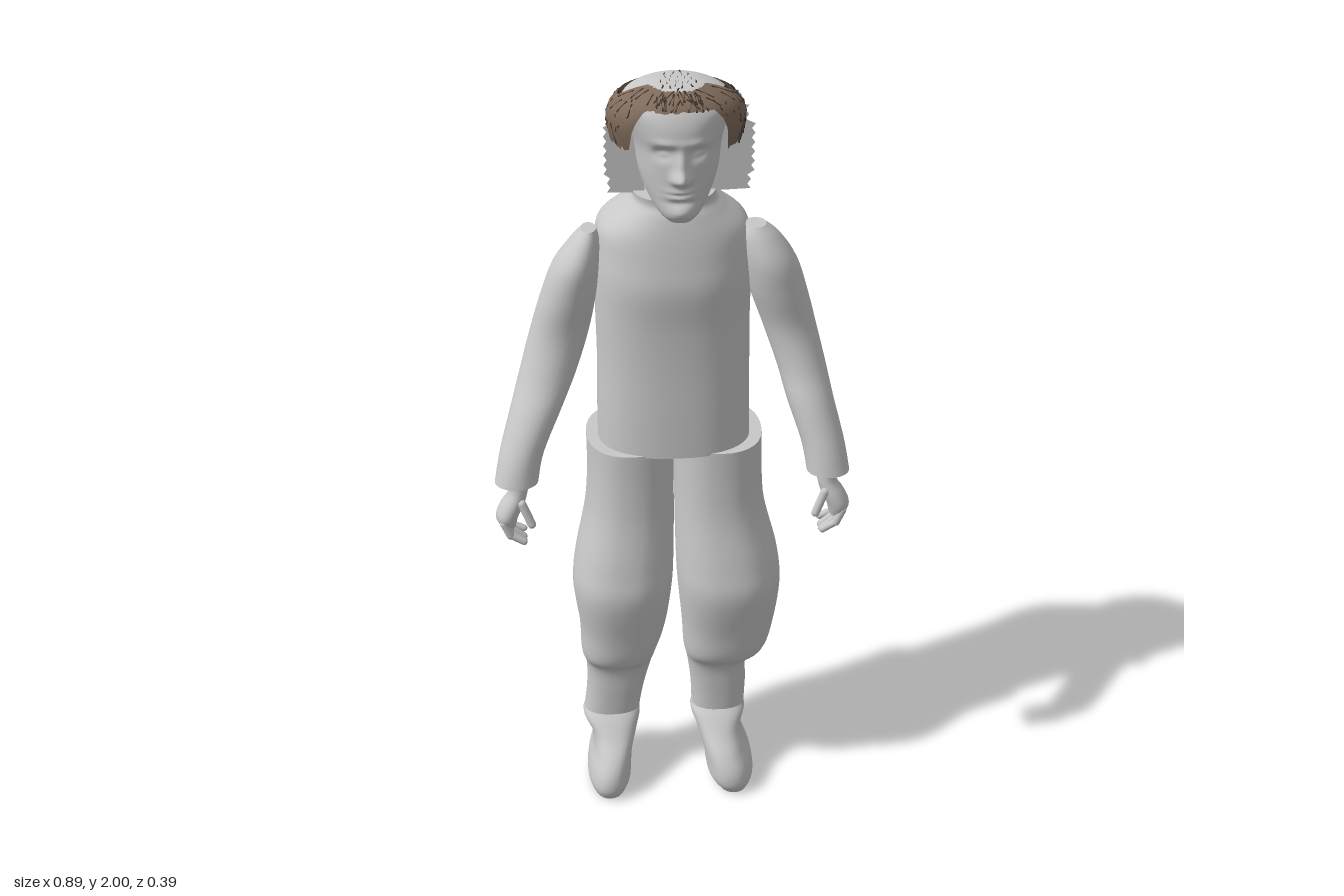
import * as THREE from 'three';

const grey = new THREE.MeshStandardMaterial({ color: 0xc8c8c8 });
grey.name = 'plainGrey';
const greySheet = new THREE.MeshStandardMaterial({ color: 0xc8c8c8, side: THREE.DoubleSide });
greySheet.name = 'plainGreySheet';
const brown = new THREE.MeshStandardMaterial({ color: 0x7f6b5b, side: THREE.DoubleSide });
brown.name = 'hairBrown';
const dark = new THREE.MeshStandardMaterial({ color: 0x40362f });
dark.name = 'strandBrown';

let seed = 7;
const rand = () => (seed = (seed * 16807) % 2147483647) / 2147483647;

// Smooth lookup in a table of slices, t from 0 to 1
function sliceAt(rings, t) {
  const f = t * (rings.length - 1), i = Math.min(Math.floor(f), rings.length - 2), u = f - i;
  const r = k => rings[Math.max(0, Math.min(rings.length - 1, k))];
  return rings[i].map((_, c) => {
    const p0 = r(i - 1)[c], p1 = r(i)[c], p2 = r(i + 1)[c], p3 = r(i + 2)[c];
    return p1 + 0.5 * u * (p2 - p0 + u * (2 * p0 - 5 * p1 + 4 * p2 - p3 + u * (3 * (p1 - p2) + p3 - p0)));
  });
}

// Point on a slice [y, xMin, xMax, zFront, zBack] at angle a; power > 2 squares it off
function slicePoint([y, x0, x1, zf, zb], a, power = 2) {
  const round = v => Math.sign(v) * Math.pow(Math.abs(v), 2 / power);
  return [
    (x0 + x1) / 2 + round(Math.cos(a)) * (x1 - x0) / 2, y,
    (zf + zb) / 2 + round(Math.sin(a)) * (zf - zb) / 2];
}

// Closed body through horizontal slices listed from the bottom up
function loft(name, rings, { n = 32, rows = 32, power = 2, shape = p => p } = {}) {
  const pos = [], idx = [];
  for (let j = 0; j <= rows; j++) {
    const s = sliceAt(rings, j / rows);
    for (let i = 0; i < n; i++) pos.push(...shape(slicePoint(s, i / n * Math.PI * 2, power)));
  }
  for (let j = 0; j < rows; j++) for (let i = 0; i < n; i++) {
    const a = j * n + i, b = j * n + (i + 1) % n;
    idx.push(a, a + n, b, b, a + n, b + n);
  }
  for (const [row, ring, top] of [[0, rings[0], false], [rows, rings[rings.length - 1], true]]) {
    const base = pos.length / 3;
    pos.push(...pos.slice(row * n * 3, (row + 1) * n * 3));
    pos.push((ring[1] + ring[2]) / 2, ring[0], (ring[3] + ring[4]) / 2);
    for (let i = 0; i < n; i++) {
      const a = base + i, b = base + (i + 1) % n;
      idx.push(...(top ? [a, base + n, b] : [a, b, base + n]));
    }
  }
  const g = new THREE.BufferGeometry();
  g.setAttribute('position', new THREE.Float32BufferAttribute(pos, 3));
  g.setIndex(idx);
  g.computeVertexNormals();
  const m = new THREE.Mesh(g, grey);
  m.name = name;
  return m;
}

// Rounded rod or thin strand between two points
function rod(name, a, b, r, material, fine = true) {
  const A = new THREE.Vector3(...a), B = new THREE.Vector3(...b), d = B.clone().sub(A);
  const g = fine ? new THREE.CapsuleGeometry(r, d.length(), 5, 10) : new THREE.CylinderGeometry(r, r, d.length(), 4);
  const m = new THREE.Mesh(g, material);
  m.position.copy(A).add(B).multiplyScalar(0.5);
  m.quaternion.setFromUnitVectors(new THREE.Vector3(0, 1, 0), d.normalize());
  m.name = name;
  return m;
}

// Facial relief: nose, eye sockets, brows, lips and chin
function face([x, y, z]) {
  if (z < 0.04) return [x, y, z];
  const dx = x - 0.017;
  const bump = (cx, cy, sx, sy) => Math.exp(-(((dx - cx) / sx) ** 2) - ((y - cy) / sy) ** 2);
  let d = 0.034 * bump(0, 1.808, 0.019, 0.018) + 0.018 * bump(0, 1.84, 0.012, 0.03);
  for (const s of [-1, 1]) {
    d += -0.016 * bump(s * 0.04, 1.862, 0.022, 0.015) + 0.007 * bump(s * 0.04, 1.86, 0.013, 0.007);
    d += 0.006 * bump(s * 0.035, 1.888, 0.03, 0.01) + 0.007 * bump(s * 0.017, 1.802, 0.009, 0.009);
  }
  d += 0.012 * bump(0, 1.766, 0.03, 0.015) - 0.009 * bump(0, 1.766, 0.03, 0.004);
  d += 0.009 * bump(0, 1.722, 0.028, 0.016) - 0.005 * bump(0, 1.745, 0.03, 0.007);
  return [x, y, z + d];
}

const hairRings = [
  [1.74, -0.07, 0.1, 0.06, -0.09], [1.80, -0.115, 0.145, 0.11, -0.12], [1.86, -0.14, 0.17, 0.14, -0.132],
  [1.92, -0.147, 0.177, 0.158, -0.13], [1.96, -0.125, 0.157, 0.155, -0.112], [1.985, -0.085, 0.115, 0.13, -0.075],
  [2.0, -0.03, 0.06, 0.09, -0.03]];

// Lower and upper limits of the hair around the head, as loft fractions
function hairLimits(a) {
  const s = Math.sin(a), step = THREE.MathUtils.smoothstep;
  return [0.03 + 0.27 * step(s, -0.2, 0) + 0.36 * step(s, 0.66, 0.85), 0.7 + 0.24 * step(s, 0, 0.25)];
}

function hair() {
  const n = 120, rows = 14, pos = [], idx = [];
  for (let i = 0; i <= n; i++) {
    const a = i / n * Math.PI * 2, [lo, hi] = hairLimits(a), jag = i % n ? rand() * 0.04 : 0;
    for (let j = 0; j <= rows; j++) {
      const t = THREE.MathUtils.lerp(lo + jag, hi - jag / 2, j / rows);
      pos.push(...slicePoint(sliceAt(hairRings, t), a));
      if (i < n && j < rows) {
        const p = i * (rows + 1) + j, q = p + rows + 1;
        idx.push(p, p + 1, q, q, p + 1, q + 1);
      }
    }
  }
  const g = new THREE.BufferGeometry();
  g.setAttribute('position', new THREE.Float32BufferAttribute(pos, 3));
  g.setIndex(idx);
  g.computeVertexNormals();
  const m = new THREE.Mesh(g, brown);
  m.name = 'hair';
  return m;
}

export function createModel() {
  const model = new THREE.Group();
  model.name = 'standingFigure';

  // Padded jacket with a short collar
  model.add(loft('jacket', [
    [1.05, -0.18, 0.205, 0.125, -0.155], [1.15, -0.18, 0.203, 0.123, -0.16], [1.28, -0.178, 0.201, 0.12, -0.167],
    [1.40, -0.18, 0.2, 0.122, -0.175], [1.50, -0.18, 0.202, 0.13, -0.188], [1.57, -0.178, 0.202, 0.122, -0.2],
    [1.63, -0.168, 0.19, 0.112, -0.19], [1.68, -0.115, 0.138, 0.1, -0.142], [1.705, -0.09, 0.113, 0.09, -0.108],
    [1.725, -0.088, 0.11, 0.092, -0.102]], { n: 48, rows: 54, power: 2.4 }));

  // Baggy trousers gathered below the knee
  model.add(loft('rightTrouserLeg', [
    [0.19, -0.235, -0.085, 0.06, -0.05], [0.28, -0.225, -0.07, 0.065, -0.05], [0.36, -0.225, -0.05, 0.075, -0.055],
    [0.41, -0.237, -0.038, 0.115, -0.085], [0.50, -0.24, -0.012, 0.135, -0.1], [0.63, -0.255, 0.005, 0.162, -0.122],
    [0.72, -0.245, 0.01, 0.152, -0.13], [0.85, -0.218, 0.012, 0.13, -0.138], [0.96, -0.21, 0.012, 0.122, -0.15],
    [1.055, -0.21, 0.014, 0.12, -0.158]], { rows: 54, power: 2.3 }));
  model.add(loft('leftTrouserLeg', [
    [0.19, 0.062, 0.205, 0.06, -0.05], [0.28, 0.058, 0.208, 0.065, -0.05], [0.36, 0.048, 0.21, 0.075, -0.055],
    [0.41, 0.038, 0.255, 0.115, -0.085], [0.50, 0.032, 0.278, 0.135, -0.1], [0.63, 0.02, 0.29, 0.165, -0.122],
    [0.72, 0.016, 0.28, 0.155, -0.13], [0.85, 0.014, 0.247, 0.13, -0.138], [0.96, 0.012, 0.238, 0.122, -0.15],
    [1.055, 0.01, 0.237, 0.12, -0.158]], { rows: 54, power: 2.3 }));

  // Soft ankle shoes
  model.add(loft('rightShoe', [
    [0, -0.22, -0.125, 0.168, -0.03], [0.03, -0.23, -0.113, 0.182, -0.055], [0.07, -0.225, -0.11, 0.178, -0.075],
    [0.11, -0.213, -0.105, 0.155, -0.085], [0.15, -0.217, -0.092, 0.115, -0.08], [0.19, -0.237, -0.082, 0.078, -0.06],
    [0.215, -0.225, -0.09, 0.05, -0.04]], { power: 2.3 }));
  model.add(loft('leftShoe', [
    [0, 0.12, 0.215, 0.168, -0.03], [0.03, 0.1, 0.226, 0.182, -0.055], [0.07, 0.094, 0.22, 0.178, -0.075],
    [0.11, 0.085, 0.203, 0.155, -0.085], [0.15, 0.072, 0.195, 0.115, -0.08], [0.19, 0.058, 0.207, 0.078, -0.06],
    [0.215, 0.07, 0.195, 0.05, -0.04]], { power: 2.3 }));

  // Sleeves
  model.add(loft('rightSleeve', [
    [1.01, -0.443, -0.335, 0.182, 0.085], [1.08, -0.428, -0.318, 0.165, 0.045], [1.18, -0.397, -0.27, 0.13, -0.005],
    [1.26, -0.372, -0.232, 0.095, -0.04], [1.36, -0.343, -0.198, 0.073, -0.06], [1.46, -0.313, -0.178, 0.082, -0.062],
    [1.54, -0.283, -0.17, 0.085, -0.06], [1.60, -0.24, -0.168, 0.065, -0.04], [1.632, -0.212, -0.175, 0.045, -0.018]],
    { rows: 40 }));
  model.add(loft('leftSleeve', [
    [1.01, 0.335, 0.442, 0.182, 0.085], [1.08, 0.322, 0.43, 0.165, 0.045], [1.18, 0.288, 0.405, 0.13, -0.005],
    [1.26, 0.265, 0.387, 0.095, -0.04], [1.36, 0.23, 0.362, 0.073, -0.06], [1.46, 0.195, 0.335, 0.082, -0.062],
    [1.54, 0.178, 0.308, 0.085, -0.06], [1.60, 0.172, 0.268, 0.065, -0.04], [1.632, 0.182, 0.232, 0.045, -0.018]],
    { rows: 40 }));

  // Hands: palm, four curled fingers and a thumb
  for (const [side, s] of [['left', 1], ['right', -1]]) {
    const hand = new THREE.Group();
    hand.name = side + 'Hand';
    hand.add(loft('palm', [
      [0.885, 0.395, 0.432, 0.165, 0.105], [0.915, 0.388, 0.445, 0.178, 0.098], [0.95, 0.372, 0.432, 0.175, 0.1],
      [0.985, 0.362, 0.41, 0.165, 0.11], [1.02, 0.36, 0.41, 0.162, 0.112]], { n: 20, rows: 14 }));
    for (let i = 0; i < 4; i++) {
      const z = 0.108 + i * 0.019, drop = [0.012, 0, 0, 0.008][i];
      hand.add(rod('finger', [0.425, 0.905, z], [0.41, 0.87, z], 0.0105, grey));
      hand.add(rod('fingerTip', [0.41, 0.87, z], [0.377, 0.842 + drop, z], 0.009, grey));
    }
    hand.add(rod('thumb', [0.378, 0.96, 0.165], [0.356, 0.905, 0.172], 0.011, grey));
    if (s < 0) hand.traverse(o => {
      if (!o.isMesh) return;
      if (o.name === 'palm') {
        const p = o.geometry.attributes.position, ix = o.geometry.index.array;
        for (let i = 0; i < p.count; i++) p.setX(i, -p.getX(i));
        ix.reverse();
        o.geometry.computeVertexNormals();
      } else {
        o.position.x *= -1;
        o.quaternion.set(o.quaternion.x, -o.quaternion.y, -o.quaternion.z, o.quaternion.w);
      }
    });
    model.add(hand);
  }

  // Neck and head
  model.add(loft('neck', [[1.66, -0.06, 0.09, 0.07, -0.09], [1.8, -0.06, 0.09, 0.07, -0.09]], { rows: 2 }));
  model.add(loft('head', [
    [1.692, -0.012, 0.046, 0.14, 0.08], [1.71, -0.035, 0.069, 0.152, 0.01], [1.75, -0.06, 0.094, 0.15, -0.05],
    [1.80, -0.077, 0.112, 0.15, -0.09], [1.86, -0.085, 0.12, 0.153, -0.112], [1.91, -0.1, 0.132, 0.155, -0.115],
    [1.95, -0.113, 0.145, 0.143, -0.105], [1.978, -0.09, 0.12, 0.122, -0.08], [1.995, -0.04, 0.07, 0.09, -0.04],
    [1.998, 0.01, 0.02, 0.035, 0.02]], { n: 120, rows: 110, power: 2.15, shape: face }));

  // Hair shell with loose dark strands over it
  model.add(hair());
  const strands = new THREE.Group();
  strands.name = 'hairStrands';
  for (let i = 0; i < 130; i++) {
    const a = rand() * Math.PI * 2, [lo, hi] = hairLimits(a);
    const t = THREE.MathUtils.lerp(lo, hi - 0.12, rand());
    const p = slicePoint(sliceAt(hairRings, t), a);
    const q = slicePoint(sliceAt(hairRings, t + 0.13), a + (rand() - 0.5) * 0.35);
    strands.add(rod('strand', p, q, 0.0022, dark, false));
  }
  for (let i = 0; i < 24; i++) {
    const a = i * 2.4, r = Math.sqrt(i / 24), x = 0.017 + 0.045 * r * Math.cos(a), z = 0.025 + 0.065 * r * Math.sin(a);
    strands.add(rod('crownStrand', [x, 1.996, z], [x + (rand() - 0.5) * 0.01, 1.996, z + 0.016], 0.0022, dark, false));
  }
  model.add(strands);

  // Ragged flat side locks beside the face
  for (const [name, inner, outer] of [['rightSideLock', -0.06, -0.155], ['leftSideLock', 0.095, 0.2]]) {
    const pts = [new THREE.Vector2(inner, 1.72), new THREE.Vector2(inner, 1.93)];
    for (let i = 0; i <= 18; i++) {
      const y = 1.93 - i * 0.0115, reach = i < 4 ? 0.85 : i > 14 ? 0.92 : 1;
      pts.push(new THREE.Vector2(inner + (outer - inner) * (reach - (i % 2) * 0.08), y));
    }
    const lock = new THREE.Mesh(new THREE.ShapeGeometry(new THREE.Shape(pts)), greySheet);
    lock.position.z = 0.02;
    lock.name = name;
    model.add(lock);
  }
  return model;
}
